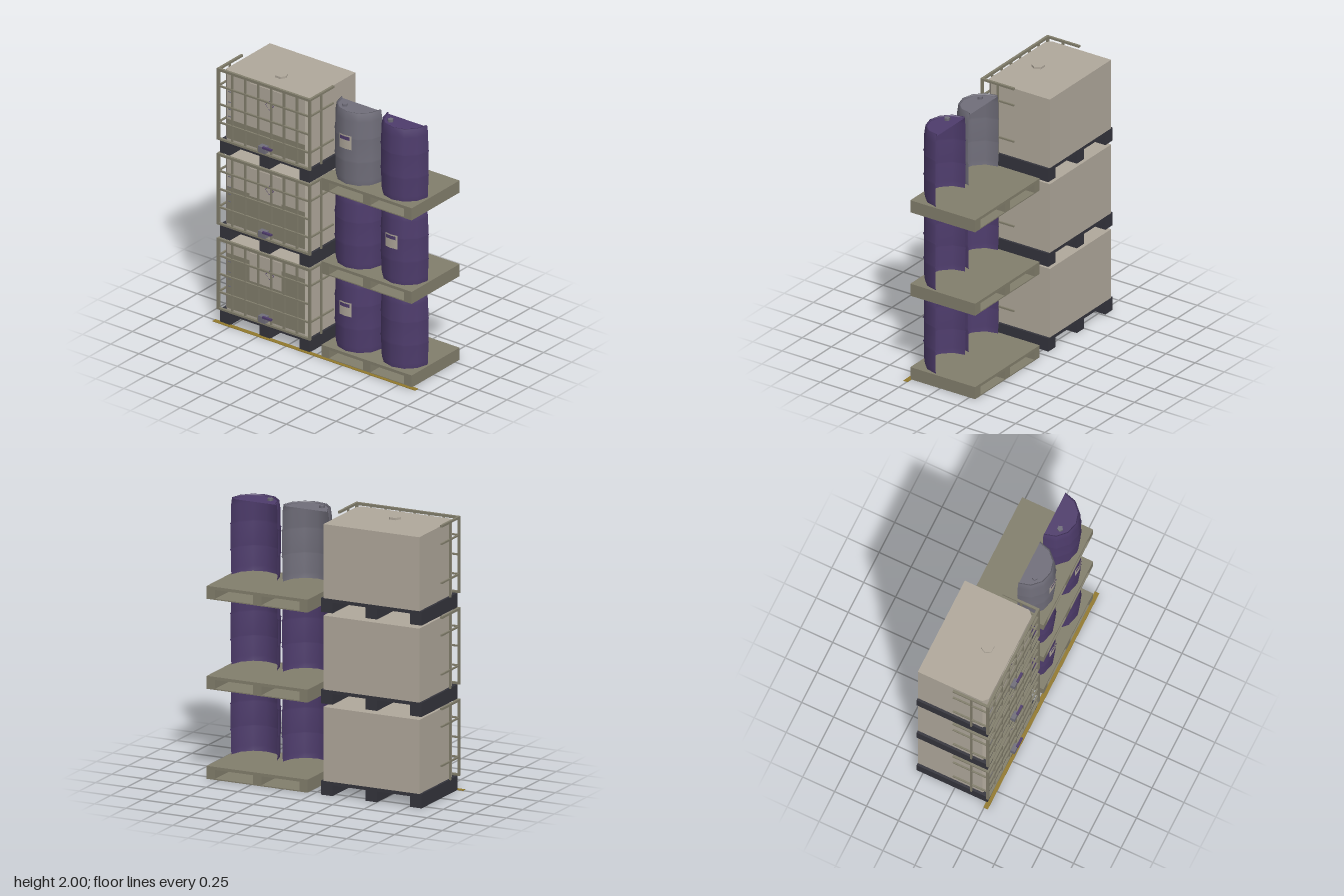
import * as THREE from 'three';

const mat = (name, color, side = THREE.FrontSide) => {
  const m = new THREE.MeshStandardMaterial({ color, side });
  m.name = name;
  return m;
};

export function createModel() {
  const cream = mat('cream plastic', 0xb0a89b, THREE.DoubleSide);
  const khaki = mat('khaki', 0x827e6c);
  const dark = mat('dark plastic', 0x34343c);
  const purple = mat('purple paint', 0x4e3c6c, THREE.DoubleSide);
  const grey = mat('grey paint', 0x706e7a, THREE.DoubleSide);
  const gold = mat('floor line yellow', 0x92792c);

  const model = new THREE.Group();
  model.name = 'palletStorage';

  const add = (parent, name, geo, material, x = 0, y = 0, z = 0) => {
    const mesh = new THREE.Mesh(geo, material);
    mesh.name = name;
    mesh.position.set(x, y, z);
    parent.add(mesh);
    return mesh;
  };
  // Box given by its minimum and maximum corners
  const box = (parent, name, material, x0, x1, y0, y1, z0, z1) =>
    add(parent, name, new THREE.BoxGeometry(x1 - x0, y1 - y0, z1 - z0), material,
      (x0 + x1) / 2, (y0 + y1) / 2, (z0 + z1) / 2);

  // ---- Caged liquid container, centred on its own x ----
  function container(fill) {
    const g = new THREE.Group();
    g.name = 'container';

    // Pallet: deck on three runners
    box(g, 'palletDeck', dark, -0.398, 0.398, 0.078, 0.103, -0.3, 0.255);
    for (const x of [-0.353, 0, 0.353])
      box(g, 'palletRunner', dark, x - 0.045, x + 0.045, 0, 0.078, -0.3, 0.255);

    // Tank with chamfered front corners
    const s = new THREE.Shape();
    s.moveTo(-0.38, 0.3);
    s.lineTo(-0.38, -0.205);
    s.lineTo(-0.345, -0.24);
    s.lineTo(0.345, -0.24);
    s.lineTo(0.38, -0.205);
    s.lineTo(0.38, 0.3);
    const tank = new THREE.ExtrudeGeometry(s, { depth: 0.541, bevelEnabled: false });
    tank.rotateX(-Math.PI / 2);
    add(g, 'tank', tank, cream, 0, 0.103, 0);
    const lid = new THREE.CylinderGeometry(0.048, 0.048, 0.016, 6).toNonIndexed();
    lid.computeVertexNormals();
    lid.rotateY(Math.PI / 6);
    add(g, 'lid', lid, cream, 0, 0.652, 0.063);

    // Liquid level, sheet and marks on the front
    box(g, 'liquidLevel', khaki, -0.345, 0.345, 0.125, fill, 0.239, 0.243);
    box(g, 'frontSheet', cream, -0.14, 0.14, 0.4, 0.62, 0.239, 0.246);
    for (const y of [0.3, 0.356, 0.412, 0.494])
      box(g, 'levelMark', grey, -0.335, -0.292, y - 0.003, y + 0.003, 0.24, 0.245);
    add(g, 'diamondBorder', new THREE.BoxGeometry(0.053, 0.053, 0.004), purple, 0.038, 0.496, 0.247)
      .rotation.z = Math.PI / 4;
    add(g, 'diamond', new THREE.BoxGeometry(0.045, 0.045, 0.004), cream, 0.038, 0.496, 0.249)
      .rotation.z = Math.PI / 4;

    // Cage: front grid, wrapped a short way round both sides
    for (let i = -2.5; i <= 2.5; i++)
      box(g, 'cageUpright', khaki, i * 0.115 - 0.007, i * 0.115 + 0.007, 0.105, 0.65, 0.249, 0.262);
    for (const y of [0.24, 0.383, 0.526])
      box(g, 'cageBar', khaki, -0.4, 0.4, y - 0.006, y + 0.006, 0.255, 0.268);
    box(g, 'cageTopRail', khaki, -0.405, 0.405, 0.645, 0.664, 0.251, 0.27);
    box(g, 'cageBottomRail', khaki, -0.405, 0.405, 0.103, 0.118, 0.251, 0.27);
    for (const side of [-1, 1]) {
      const x0 = side * 0.405 - 0.009, x1 = side * 0.405 + 0.009;
      box(g, 'cagePost', khaki, x0, x1, 0.103, 0.664, 0.252, 0.27);
      box(g, 'cageSideTopRail', khaki, x0, x1, 0.648, 0.664, -0.012, 0.26);
      box(g, 'cageSideUpright', khaki, x0 + 0.003, x1 - 0.003, 0.103, 0.65, 0.123, 0.137);
      for (const y of [0.24, 0.526])
        box(g, 'cageSideBar', khaki, x0 + 0.003, x1 - 0.003, y - 0.006, y + 0.006, -0.012, 0.26);
    }

    // Outlet valve and handle
    box(g, 'valve', grey, -0.033, 0.03, 0.127, 0.175, 0.24, 0.29);
    box(g, 'valveHandle', purple, 0.008, 0.087, 0.167, 0.181, 0.28, 0.298);
    return g;
  }

  // ---- Wooden drum pallet: two boards on three runners ----
  function drumPallet() {
    const g = new THREE.Group();
    g.name = 'drumPallet';
    box(g, 'topBoard', khaki, -0.4, 0.4, 0.073, 0.095, -0.3, 0.255);
    box(g, 'bottomBoard', khaki, -0.4, 0.4, 0, 0.008, -0.3, 0.255);
    for (const x of [-0.367, 0, 0.367])
      box(g, 'runner', khaki, x - 0.033, x + 0.033, 0.008, 0.073, -0.3, 0.255);
    return g;
  }

  // ---- Half drum, open at the back ----
  function drum(paint, labelled) {
    const g = new THREE.Group();
    g.name = 'drum';
    const profile = [
      [0.18, 0], [0.185, 0.04], [0.186, 0.171], [0.193, 0.18], [0.187, 0.189],
      [0.187, 0.361], [0.193, 0.37], [0.186, 0.379], [0.185, 0.5], [0.176, 0.565],
      [0.167, 0.565], [0.167, 0.553],
    ].map(([r, y]) => new THREE.Vector2(r, y));
    add(g, 'drumShell', new THREE.LatheGeometry(profile, 6, -Math.PI / 2, Math.PI), paint);
    const cap = new THREE.CircleGeometry(0.168, 6, Math.PI, Math.PI);
    cap.rotateX(-Math.PI / 2);
    add(g, 'drumTop', cap, paint, 0, 0.553, 0);
    add(g, 'bung', new THREE.CylinderGeometry(0.022, 0.022, 0.018, 5), grey, -0.083, 0.562, 0.085);
    if (labelled) {
      // Label bent round the shell
      const patch = (r, h, a) => new THREE.CylinderGeometry(r, r, h, 2, 1, true, -a, 2 * a);
      add(g, 'label', patch(0.193, 0.108, 0.278), cream, 0, 0.335, 0);
      add(g, 'labelStripe', patch(0.195, 0.027, 0.218), purple, 0, 0.366, 0);
    }
    return g;
  }

  // ---- Stacks of three ----
  const fills = [0.557, 0.415, 0.277];
  for (let level = 0; level < 3; level++) {
    const c = container(fills[level]);
    c.position.set(-0.455, level * 0.668, 0);
    model.add(c);

    const p = drumPallet();
    p.position.set(0.45, level * 0.658, 0);
    model.add(p);

    [0.245, 0.653].forEach((x, col) => {
      const paint = level === 2 && col === 0 ? grey : purple;
      const d = drum(paint, col === level % 2);
      d.position.set(x, level * 0.658 + 0.095, 0.048);
      model.add(d);
    });
  }

  // Painted line on the floor
  box(model, 'floorLine', gold, -0.9, 0.9, 0, 0.004, 0.245, 0.28);

  return model;
}
